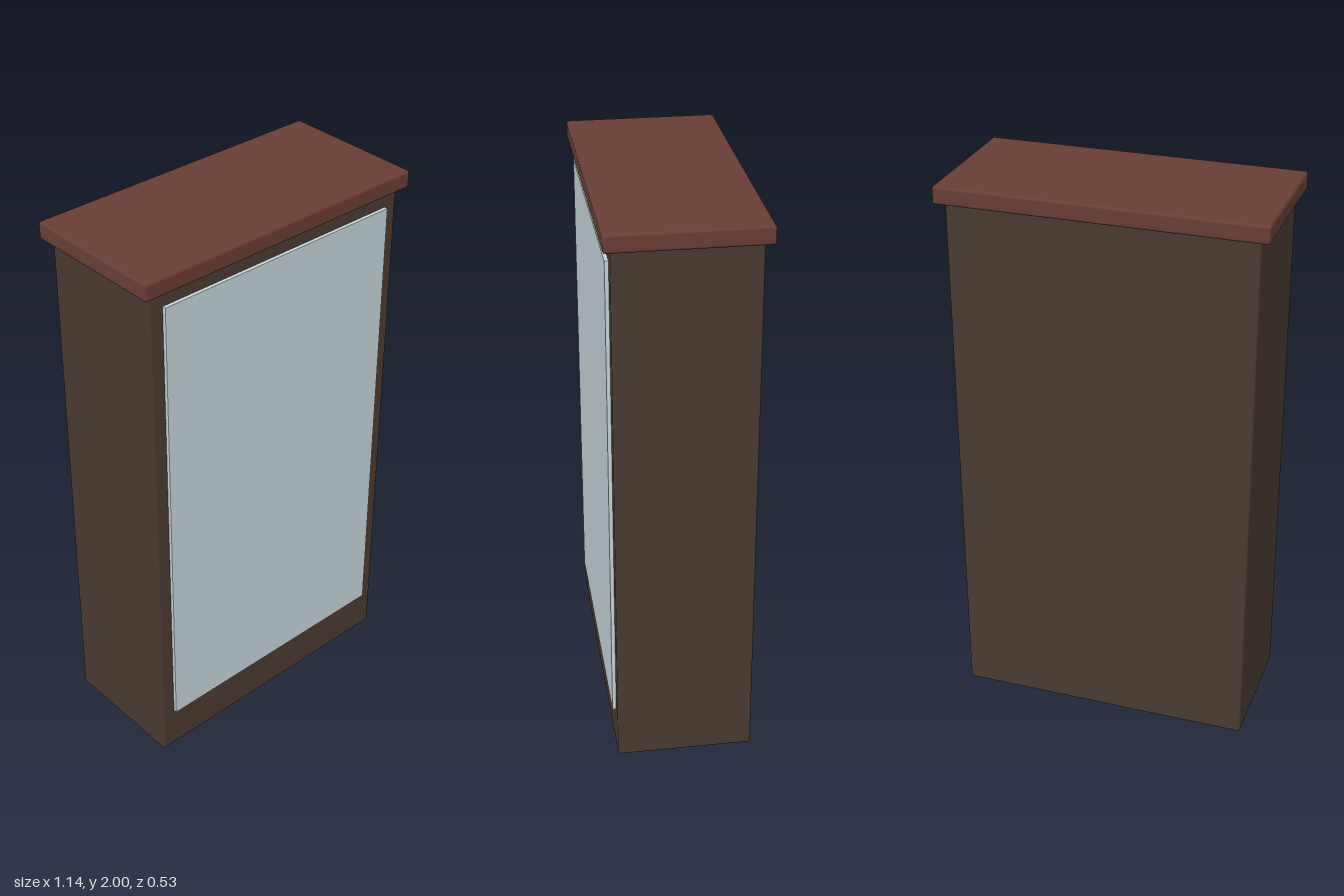
import * as THREE from 'three';
import { RoundedBoxGeometry } from 'three/addons/geometries/RoundedBoxGeometry.js';

const material = (color) => new THREE.MeshStandardMaterial({ color });

// Adds a named part, centred in x, resting at height y
function addPart(group, name, geometry, color, y, z = 0) {
  geometry.computeBoundingBox();
  const mesh = new THREE.Mesh(geometry, material(color));
  mesh.name = name;
  mesh.position.set(0, y - geometry.boundingBox.min.y, z);
  group.add(mesh);
}

export function createModel() {
  const group = new THREE.Group();
  group.name = 'displayCabinet';

  // Softly rounded cabinet body
  addPart(group, 'cabinetBody', new RoundedBoxGeometry(1.07, 1.937, 0.48, 3, 0.008), 0x4a3a31, 0);

  // Overhanging top slab
  addPart(group, 'topSlab', new RoundedBoxGeometry(1.136, 0.063, 0.534, 3, 0.01), 0x683d34, 1.937);

  // Glass door panel standing slightly proud of the front
  addPart(group, 'glassPanel', new THREE.BoxGeometry(0.966, 1.716, 0.02), 0xc4d4d8, 0.166, 0.243);

  return group;
}
